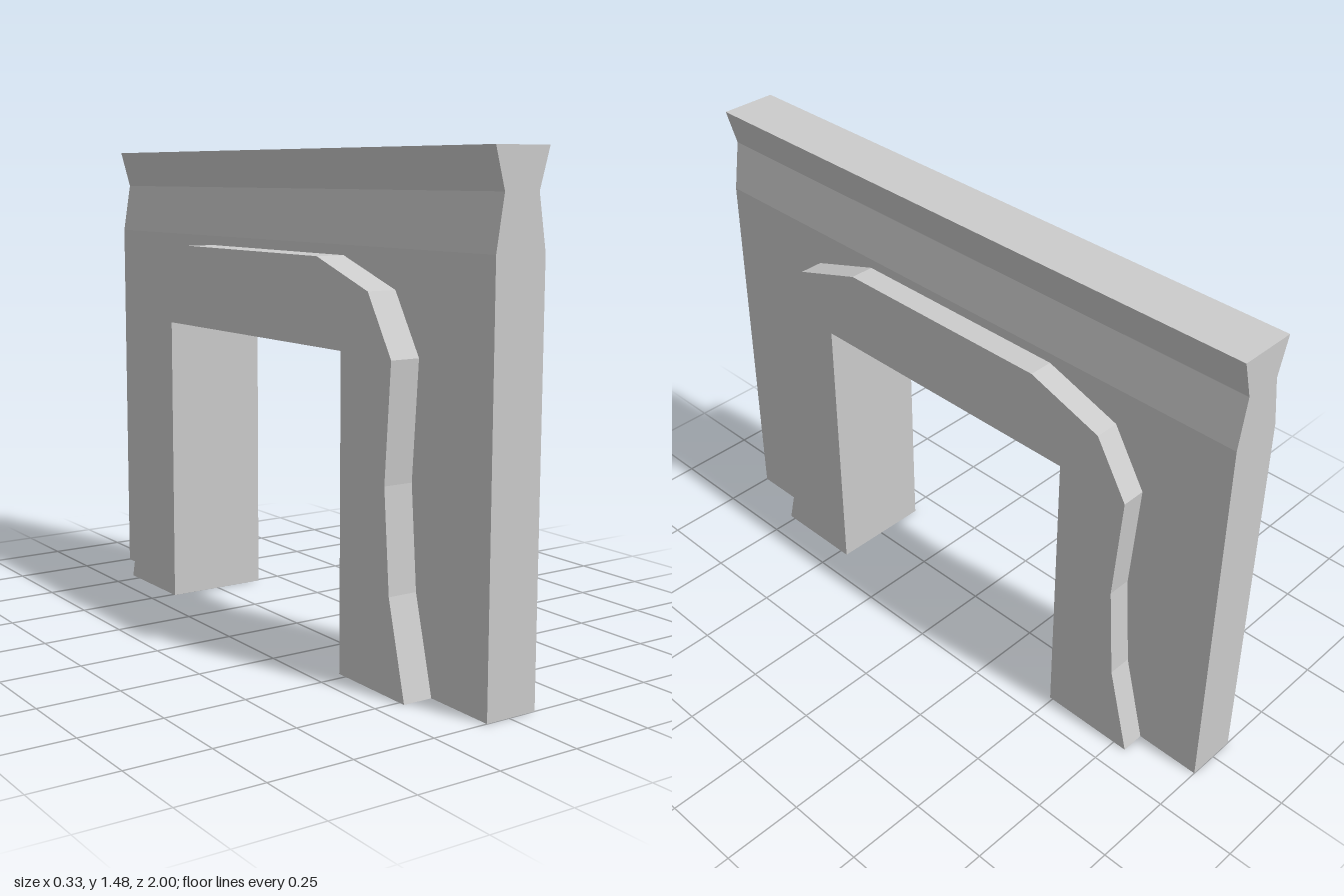
import * as THREE from 'three';

const material = new THREE.MeshStandardMaterial({ color: 0xcccccc, flatShading: true });

const toShape = (points) => new THREE.Shape(points.map(([a, b]) => new THREE.Vector2(a, b)));

// Extrudes a (z, y) outline across the wall, from x0 to x1.
function slab(name, outline, x0, x1) {
  const geometry = new THREE.ExtrudeGeometry(toShape(outline), { depth: x1 - x0, bevelEnabled: false });
  geometry.rotateY(-Math.PI / 2).translate(x1, 0, 0);
  const mesh = new THREE.Mesh(geometry, material);
  mesh.name = name;
  return mesh;
}

export function createModel() {
  const model = new THREE.Group();
  model.name = 'archwayWall';

  const wallLeft = 0.09, wallRight = -0.075; // wall faces in x
  const copingBase = 1.21;

  // Doorway edge, shared by the wall and both surrounds
  const doorway = [[-0.49, 0], [-0.49, 0.925], [0.47, 0.925], [0.47, 0]];

  // Wall with the doorway cut from its base
  const wall = [...doorway, [1, 0], [1, copingBase], [-1, copingBase], [-1, 0]];
  model.add(slab('wall', wall, wallRight, wallLeft));

  // Waisted coping running along the top of the wall
  const coping = new THREE.ExtrudeGeometry(toShape([
    [wallRight, copingBase], [wallLeft, copingBase], [0.065, 1.365],
    [0.098, 1.48], [-0.082, 1.48], [-0.05, 1.365],
  ]), { depth: 2, bevelEnabled: false });
  coping.translate(0, 0, -1);
  const copingMesh = new THREE.Mesh(coping, material);
  copingMesh.name = 'coping';
  model.add(copingMesh);

  // Raised door surround on each face; half outline mirrored about the doorway centre
  const centre = -0.0115;
  const half = [[0.782, 0], [0.71, 0.28], [0.686, 0.58], [0.711, 0.922], [0.605, 1.097], [0.363, 1.18]];
  const surround = [
    ...doorway,
    ...half.map(([z, y]) => [centre + z, y]),
    ...half.map(([z, y]) => [centre - z, y]).reverse(),
  ];
  model.add(slab('leftSurround', surround, wallLeft, 0.165));
  model.add(slab('rightSurround', surround, -0.168, wallRight));

  return model;
}
